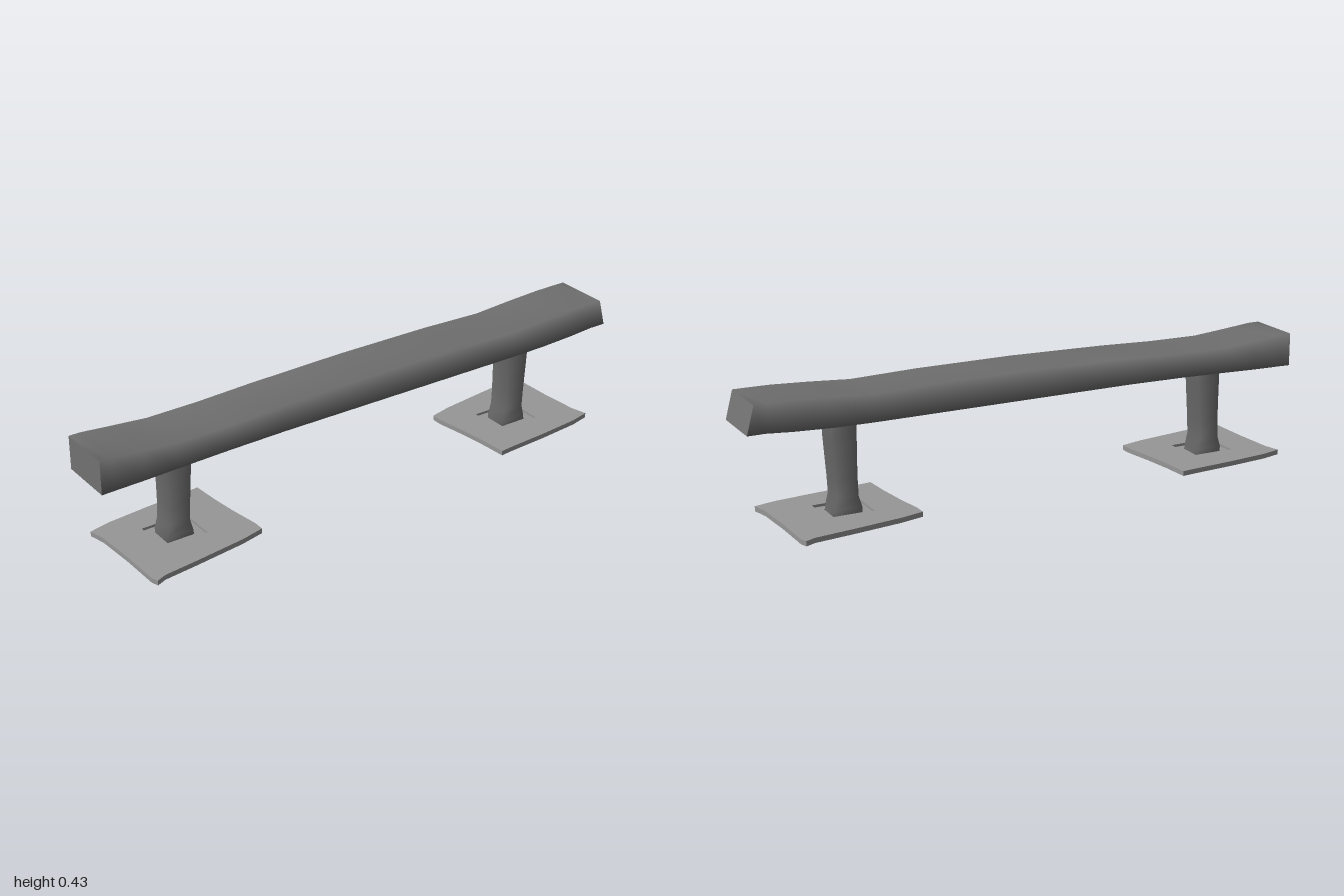
import * as THREE from 'three';

// Skin four-cornered rings with soft normals, then close both ends with hard caps.
function loft(rings, material, name) {
  const part = new THREE.Group();
  part.name = name;
  const build = (points, index, label) => {
    const g = new THREE.BufferGeometry();
    g.setAttribute('position', new THREE.Float32BufferAttribute(points.flat(), 3));
    g.setIndex(index);
    g.computeVertexNormals();
    const m = new THREE.Mesh(g, material);
    m.name = label;
    part.add(m);
  };
  const index = [];
  for (let i = 0; i < rings.length - 1; i++) {
    for (let j = 0; j < 4; j++) {
      const k = (j + 1) % 4;
      const a = i * 4 + j, b = i * 4 + k, c = b + 4, d = a + 4;
      index.push(a, b, c, a, c, d);
    }
  }
  build(rings.flat(), index, name + 'Sides');
  build(rings[0], [0, 2, 1, 0, 3, 2], name + 'StartCap');
  build(rings[rings.length - 1], [0, 1, 2, 0, 2, 3], name + 'EndCap');
  return part;
}

// Flat slab with a rectangular opening; outline points are [x, z].
function slab(outline, hole, y, height, material, name) {
  const shape = new THREE.Shape(outline.map(([x, z]) => new THREE.Vector2(x, -z)));
  const [x0, x1, z0, z1] = hole;
  shape.holes.push(new THREE.Path([[x0, z0], [x0, z1], [x1, z1], [x1, z0]]
    .map(([x, z]) => new THREE.Vector2(x, -z))));
  const g = new THREE.ExtrudeGeometry(shape, { depth: height, bevelEnabled: false });
  g.rotateX(-Math.PI / 2);
  g.translate(0, y, 0);
  const m = new THREE.Mesh(g, material);
  m.name = name;
  return m;
}

export function createModel() {
  const darkSteel = new THREE.MeshStandardMaterial({ color: 0x727272 });
  darkSteel.name = 'dark steel';
  const paleSteel = new THREE.MeshStandardMaterial({ color: 0x979797 });
  paleSteel.name = 'pale steel';

  const model = new THREE.Group();
  model.name = 'grindRail';

  // Rail: top z, top y, bottom z, bottom y from front to back
  const sections = [
    [1, 0.42, 1, 0.305], [0.96, 0.42, 0.96, 0.306], [0.85, 0.41, 0.85, 0.308],
    [0.73, 0.4, 0.73, 0.312], [0.55, 0.402, 0.55, 0.317], [0.35, 0.41, 0.35, 0.32],
    [0, 0.418, 0, 0.32], [-0.35, 0.418, -0.35, 0.32], [-0.58, 0.412, -0.58, 0.32],
    [-0.72, 0.422, -0.72, 0.322], [-0.85, 0.429, -0.85, 0.328],
    [-0.93, 0.43, -0.94, 0.335], [-0.975, 0.43, -1, 0.335],
  ];
  model.add(loft(sections.map(([zt, yt, zb, yb]) => [
    [-0.085, yt, zt], [0.112, yt, zt], [0.112, yb, zb], [-0.085, yb, zb],
  ]), darkSteel, 'rail'));

  // Posts: height, front offset, back offset
  const postLevels = [
    [0, 0.048, -0.048], [0.03, 0.05, -0.045], [0.07, 0.038, -0.035],
    [0.13, 0.036, -0.038], [0.2, 0.036, -0.043], [0.27, 0.037, -0.048], [0.35, 0.038, -0.05],
  ];
  for (const [z, name] of [[0.7, 'frontPost'], [-0.662, 'backPost']]) {
    model.add(loft(postLevels.map(([y, f, b]) => [
      [-0.04, y, z + f], [0.041, y, z + f], [0.041, y, z + b], [-0.04, y, z + b],
    ]), darkSteel, name));
  }

  // Base plates: bent sheets with a shallow recess around the post
  const outline = [
    [-0.195, 0.5], [-0.19, 0.55], [-0.18, 0.7], [-0.165, 0.85], [-0.148, 0.922],
    [-0.09, 0.908], [0.05, 0.9], [0.2, 0.898], [0.225, 0.89], [0.21, 0.855],
    [0.195, 0.73], [0.17, 0.55], [0.15, 0.466], [0.11, 0.466], [0, 0.483], [-0.1, 0.494],
  ].map(([x, z]) => [x, z - 0.7]);
  for (const [z, turn, name] of [[0.7, 0, 'frontBase'], [-0.685, Math.PI, 'backBase']]) {
    const base = new THREE.Group();
    base.name = name;
    const shift = turn ? -0.023 : 0; // keeps the opening around the post
    base.add(
      slab(outline, [-0.041, 0.041, shift - 0.05, shift + 0.05], 0.005, 0.008, paleSteel, 'lowerPlate'),
      slab(outline, [-0.07, 0.07, shift - 0.08, shift + 0.08], 0.013, 0.009, paleSteel, 'upperPlate'),
    );
    base.position.z = z;
    base.rotation.y = turn;
    model.add(base);
  }
  return model;
}
